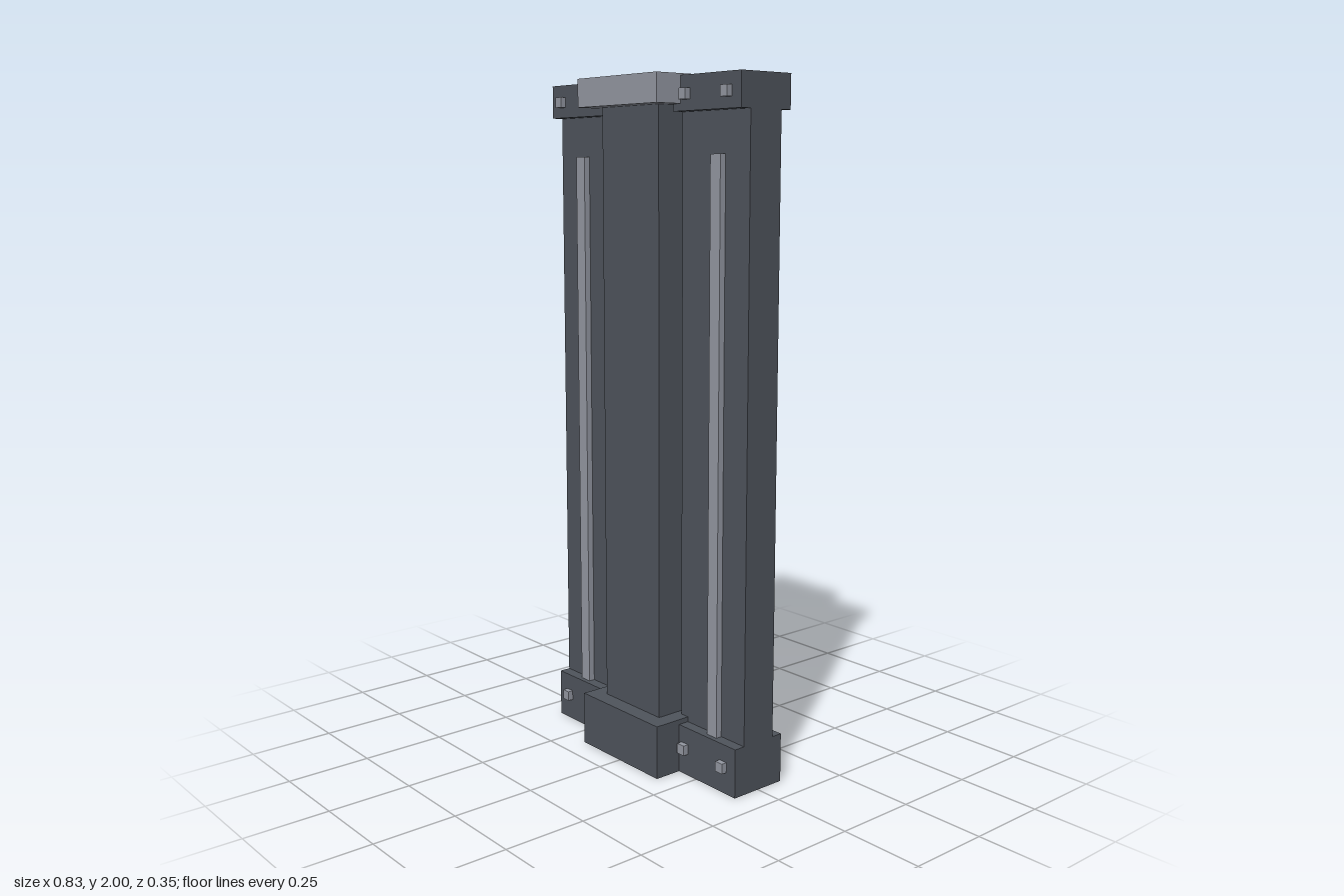
import * as THREE from 'three';

export function createModel() {
  const model = new THREE.Group();
  model.name = 'column';
  const darkMetal = new THREE.MeshStandardMaterial({ name: 'dark metal', color: 0x4f545c });
  const lightMetal = new THREE.MeshStandardMaterial({ name: 'light metal', color: 0x9498a2 });

  // Box given by its minimum and maximum corners
  function box(name, material, [x0, y0, z0], [x1, y1, z1], parent = model) {
    const mesh = new THREE.Mesh(new THREE.BoxGeometry(x1 - x0, y1 - y0, z1 - z0), material);
    mesh.position.set((x0 + x1) / 2, (y0 + y1) / 2, (z0 + z1) / 2);
    mesh.name = name;
    parent.add(mesh);
  }

  // Central post with its foot and cap
  box('post', darkMetal, [-0.125, 0.16, -0.125], [0.125, 1.92, 0.125]);
  box('foot', darkMetal, [-0.175, 0, -0.175], [0.175, 0.16, 0.175]);
  box('cap', lightMetal, [-0.175, 1.92, -0.175], [0.175, 2, 0.175]);

  // Matching side panels
  for (const side of [-1, 1]) {
    const wing = new THREE.Group();
    wing.name = side > 0 ? 'leftWing' : 'rightWing';
    model.add(wing);
    // Box on this side, given by its distance range from the middle
    const part = (name, material, x, y, z) => {
      const xs = [x[0] * side, x[1] * side].sort((a, b) => a - b);
      box(name, material, [xs[0], y[0], z[0]], [xs[1], y[1], z[1]], wing);
    };
    part('panel', darkMetal, [0.145, 0.415], [0.145, 1.9], [-0.056, 0.056]);
    part('lowerRail', darkMetal, [0.145, 0.415], [0, 0.145], [-0.09, 0.09]);
    part('upperRail', darkMetal, [0.145, 0.415], [1.9, 1.995], [-0.09, 0.09]);

    // Raised strips on both faces, with a dark lower cover at the back
    part('frontStrip', lightMetal, [0.28, 0.32], [0.145, 1.785], [0.056, 0.075]);
    part('backStrip', lightMetal, [0.28, 0.32], [0.145, 1.785], [-0.075, -0.056]);
    part('stripCover', darkMetal, [0.28, 0.32], [0.145, 0.61], [-0.078, -0.075]);

    // Square bolts on the rails
    for (const x of [0.2, 0.365])
      for (const y of [0.08, 1.945])
        for (const z of [-0.098, 0.098])
          part('bolt', lightMetal, [x - 0.014, x + 0.014], [y - 0.015, y + 0.015], [z - 0.009, z + 0.009]);
  }
  return model;
}
